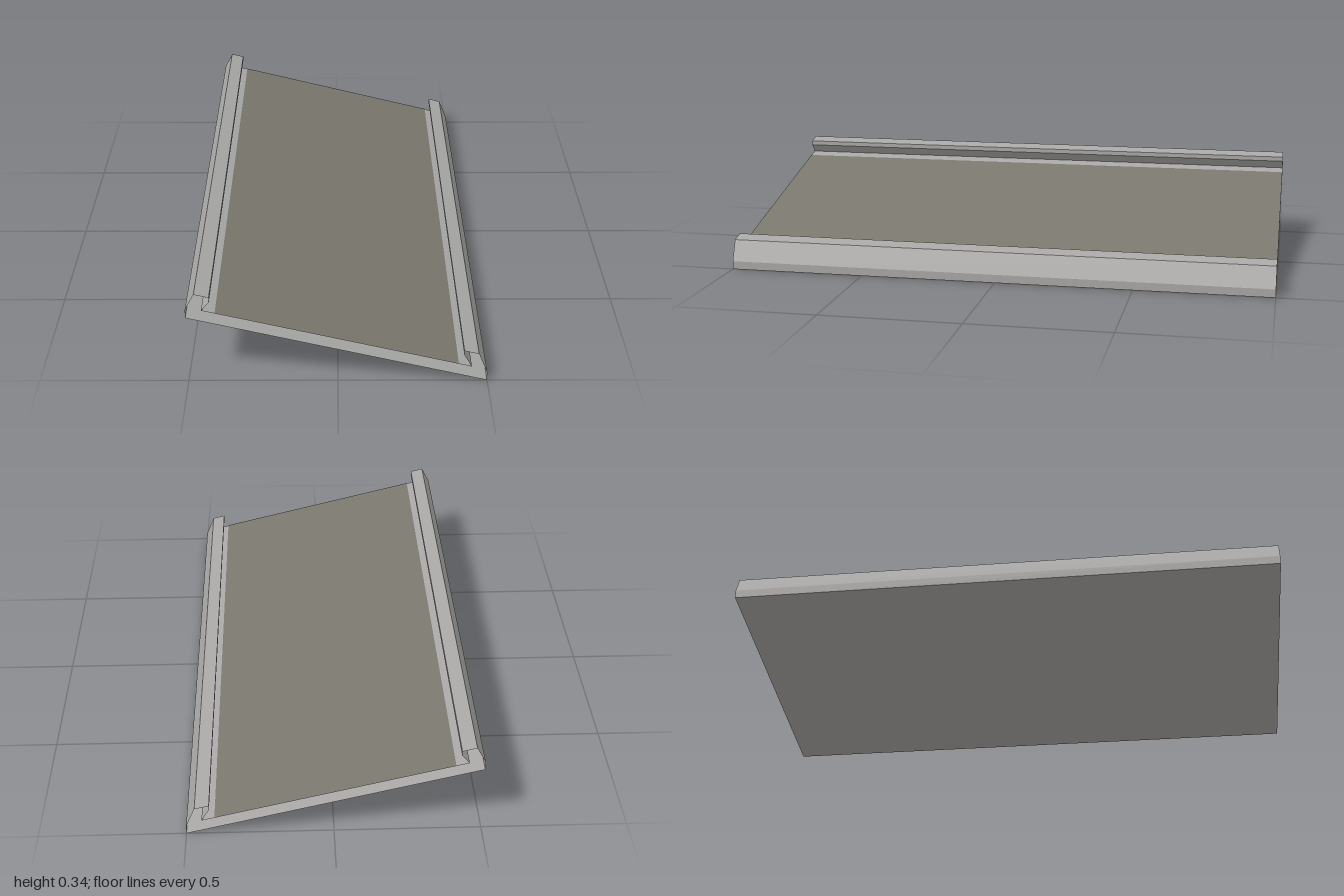
import * as THREE from 'three';

const HALF_LENGTH = 1;
const SLOPE = 0.25; // sideways bank: the +x edge is the low one

// Sweeps an open profile of [x, height above underside] along z, banked sideways.
function sweep(name, profile, material) {
  const positions = [];
  const bank = ([x, h]) => [x, 0.125 - SLOPE * x + h];
  for (let i = 0; i < profile.length - 1; i++) {
    const a = bank(profile[i]);
    const b = bank(profile[i + 1]);
    const z = HALF_LENGTH;
    positions.push(
      ...a, z, ...a, -z, ...b, -z,
      ...a, z, ...b, -z, ...b, z
    );
  }
  const geometry = new THREE.BufferGeometry();
  geometry.setAttribute('position', new THREE.Float32BufferAttribute(positions, 3));
  geometry.computeVertexNormals();
  const mesh = new THREE.Mesh(geometry, material);
  mesh.name = name;
  return mesh;
}

export function createModel() {
  const group = new THREE.Group();
  group.name = 'bankedTrack';

  const grey = new THREE.MeshStandardMaterial({ color: 0xa8a7a5, side: THREE.DoubleSide });
  grey.name = 'concrete grey';
  const olive = new THREE.MeshStandardMaterial({ color: 0x7a776e, side: THREE.DoubleSide });
  olive.name = 'road olive grey';

  // Hooked rail: outer wall, sloped shoulder, flat top, lip and undercut
  const rail = [[0.5, 0], [0.5, 0.03], [0.469, 0.098], [0.42, 0.098], [0.42, 0.081], [0.447, 0.042]];
  const mirroredRail = rail.map(([x, h]) => [-x, h]).reverse();

  // Open-ended hollow shell
  group.add(sweep('underside', [[-0.5, 0], [0.5, 0]], grey));
  group.add(sweep('leftRail', rail, grey));
  group.add(sweep('deck', [[0.447, 0.042], [-0.447, 0.042]], grey));
  group.add(sweep('rightRail', mirroredRail, grey));

  // Road surface lying on the deck between the rails
  group.add(sweep('roadSurface', [[0.403, 0.0435], [-0.403, 0.0435]], olive));

  return group;
}
